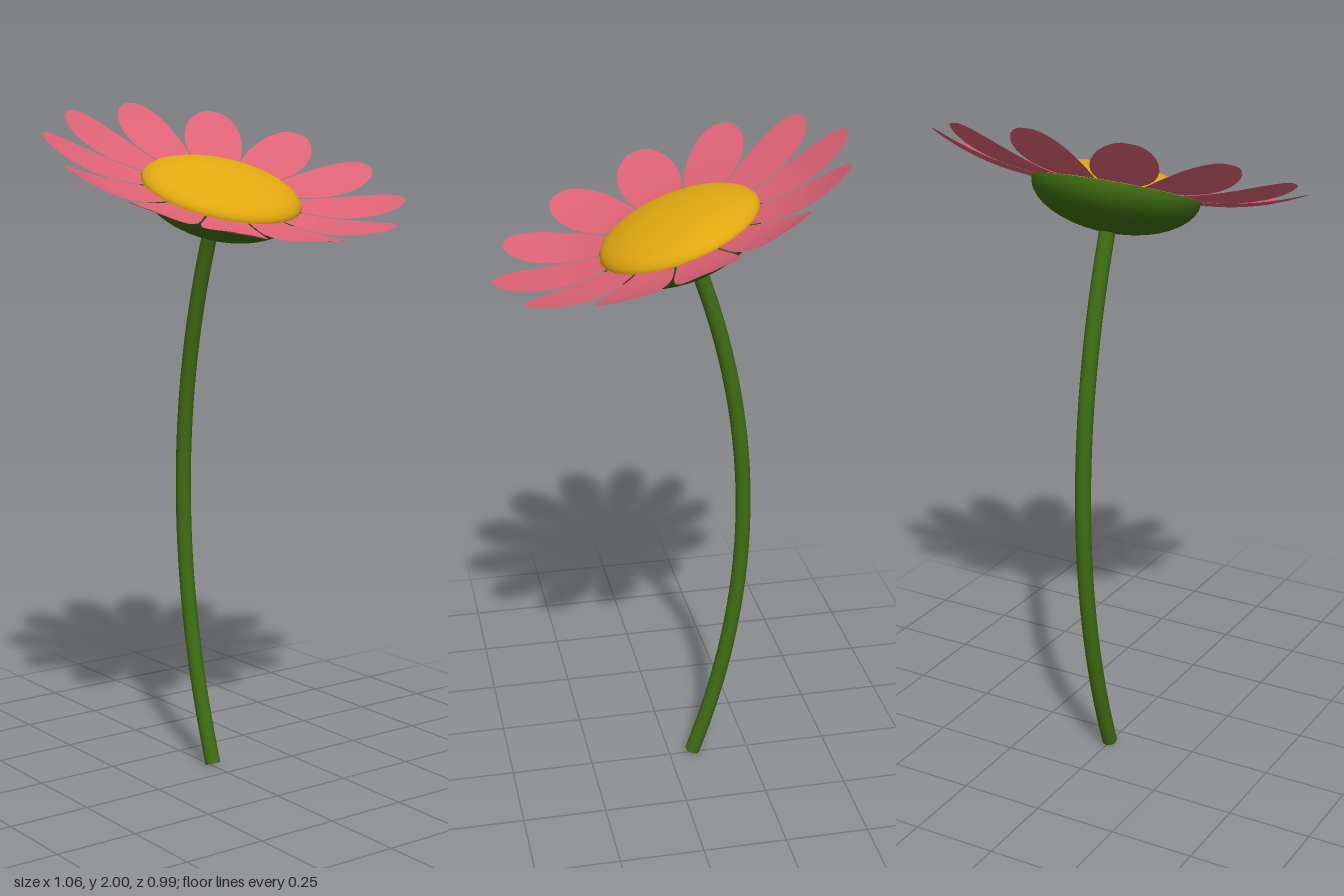
import * as THREE from 'three';

const TILT = 0.36; // the head leans towards the front
const PETALS = 12;
const LIFT = 0.7; // how strongly the petals curl upwards

// radius from the flower's axis and half width there
const PETAL_PROFILE = [
  [0.17, 0.04], [0.21, 0.052], [0.25, 0.063], [0.29, 0.075], [0.33, 0.085], [0.37, 0.0895],
  [0.41, 0.09], [0.445, 0.085], [0.475, 0.075], [0.5, 0.06], [0.518, 0.042], [0.528, 0.022],
];

function mesh(name, geometry, color, side = THREE.FrontSide) {
  const m = new THREE.Mesh(geometry, new THREE.MeshStandardMaterial({ color, side }));
  m.name = name;
  return m;
}

// Flat strip pointing to +z, shaped by the profile and curled up towards its tip
function petalGeometry() {
  const rows = PETAL_PROFILE.length - 1;
  const geo = new THREE.PlaneGeometry(1, 1, 4, rows);
  const pos = geo.attributes.position;
  for (let i = 0; i < pos.count; i++) {
    const row = Math.round((0.5 - pos.getY(i)) * rows);
    const [r, half] = PETAL_PROFILE[row];
    const across = pos.getX(i) * 2;
    // the end row bulges a little so that the tip is round
    const z = r + (row === rows ? 0.003 * (1 - across * across) : 0);
    pos.setXYZ(i, across * half, LIFT * Math.max(0, r - 0.2) ** 2, z);
  }
  geo.computeVertexNormals();
  return geo;
}

// Half of a flattened sphere, above or below the plane of the head
function dome(radius, height, upper) {
  const geo = new THREE.SphereGeometry(radius, 28, 10, 0, Math.PI * 2, upper ? 0 : Math.PI / 2, Math.PI / 2);
  return geo.scale(1, height / radius, 1);
}

export function createModel() {
  const model = new THREE.Group();
  model.name = 'flower';
  const green = 0x3f6d12;

  // Bowed stem with a closed foot
  const path = new THREE.QuadraticBezierCurve3(
    new THREE.Vector3(0, 0.008, -0.072),
    new THREE.Vector3(0, 0.86, -0.378),
    new THREE.Vector3(0, 1.66, -0.068),
  );
  model.add(mesh('stem', new THREE.TubeGeometry(path, 32, 0.023, 12), green));
  const foot = mesh('stemFoot', new THREE.CircleGeometry(0.023, 12), green);
  foot.position.copy(path.getPoint(0));
  foot.quaternion.setFromUnitVectors(new THREE.Vector3(0, 0, 1), path.getTangent(0).negate());
  model.add(foot);

  // Tilted head: green cup, yellow centre and a ring of petals
  const head = new THREE.Group();
  head.name = 'head';
  head.position.set(0, 1.742, -0.027);
  head.rotation.x = TILT;
  head.add(mesh('cup', dome(0.24, 0.123, false), green, THREE.DoubleSide));
  head.add(mesh('centre', dome(0.237, 0.07, true), 0xe0a810, THREE.DoubleSide));

  const petals = new THREE.Group();
  petals.name = 'petals';
  const geo = petalGeometry();
  for (let i = 0; i < PETALS; i++) {
    const petal = mesh('petal', geo, 0xdd6275, THREE.DoubleSide);
    petal.rotation.y = (i / PETALS) * Math.PI * 2;
    petals.add(petal);
  }
  head.add(petals);
  model.add(head);
  return model;
}
